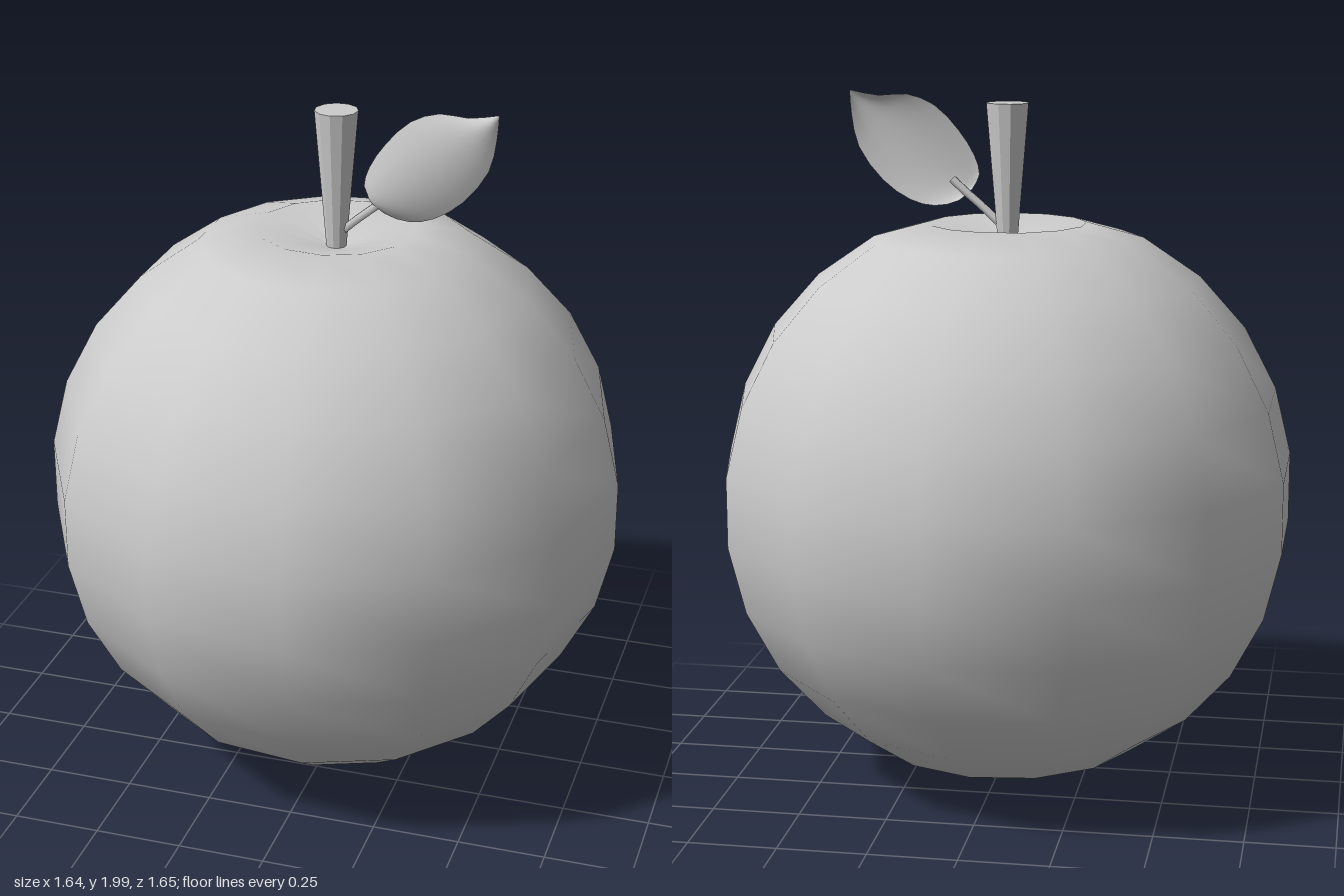
import * as THREE from 'three';

const CX = -0.014; // axis of the fruit and stem
const material = (opts = {}) => new THREE.MeshStandardMaterial({ color: 0xcccccc, ...opts });

function addMesh(group, name, geometry, mat) {
  const mesh = new THREE.Mesh(geometry, mat);
  mesh.name = name;
  group.add(mesh);
  return mesh;
}

// Coarse 13 x 13 sphere with its top pushed in to a dimple
function fruitGeometry() {
  const n = 13, r = 0.836, profile = [];
  for (let i = 0; i <= n; i++) {
    const a = (i / n) * Math.PI;
    profile.push(new THREE.Vector2(r * Math.sin(a), 0.846 - r * Math.cos(a)));
  }
  profile[0].x = 0;
  profile[n - 1].set(0.225, 1.632);
  profile[n].set(0, 1.57);
  return new THREE.LatheGeometry(profile, n, Math.PI / 2);
}

// Leaf sheet: strips between the upper and lower outlines, cupped towards +z
function leafGeometry() {
  const curve = (pts) => new THREE.CatmullRomCurve3(pts.map(([x, y]) => new THREE.Vector3(x, y, 0)));
  const upper = curve([[0.09, 1.725], [0.07, 1.765], [0.085, 1.82], [0.13, 1.89], [0.2, 1.96], [0.28, 1.99], [0.36, 1.985], [0.445, 2]]);
  const lower = curve([[0.09, 1.725], [0.13, 1.69], [0.2, 1.674], [0.27, 1.69], [0.35, 1.745], [0.42, 1.84], [0.44, 1.93], [0.445, 2]]);
  const rows = 14, cols = 8, positions = [], index = [];
  for (let i = 0; i <= rows; i++) {
    const t = i / rows, a = lower.getPoint(t), b = upper.getPoint(t);
    for (let j = 0; j <= cols; j++) {
      const p = a.clone().lerp(b, j / cols), v = (2 * j) / cols - 1;
      const bulge = Math.sqrt(Math.sin(Math.PI * Math.min(t, 1))  || 0) || 0;
      positions.push(p.x, p.y, 0.015 + 0.03 * (1 - v * v) * bulge);
      if (i < rows && j < cols) {
        const k = i * (cols + 1) + j, m = k + cols + 1;
        index.push(k, m, k + 1, m, m + 1, k + 1);
      }
    }
  }
  const g = new THREE.BufferGeometry();
  g.setAttribute('position', new THREE.Float32BufferAttribute(positions, 3));
  g.setIndex(index);
  g.computeVertexNormals();
  return g;
}

export function createModel() {
  const model = new THREE.Group();
  model.name = 'fruit';

  addMesh(model, 'body', fruitGeometry(), material()).position.x = CX;

  // Stem flaring towards its cut top
  const stem = addMesh(model, 'stem', new THREE.CylinderGeometry(0.061, 0.027, 0.41, 11), material({ flatShading: true }));
  stem.position.set(CX, 1.765, 0);

  // Thin stalk from the foot of the stem into the leaf
  const stalkPath = new THREE.CatmullRomCurve3([
    new THREE.Vector3(-0.01, 1.61, 0),
    new THREE.Vector3(0.05, 1.665, 0.012),
    new THREE.Vector3(0.11, 1.715, 0.018),
    new THREE.Vector3(0.15, 1.75, 0.022),
  ]);
  addMesh(model, 'leafStalk', new THREE.TubeGeometry(stalkPath, 8, 0.012, 6), material());

  addMesh(model, 'leaf', leafGeometry(), material({ side: THREE.DoubleSide }));
  return model;
}
